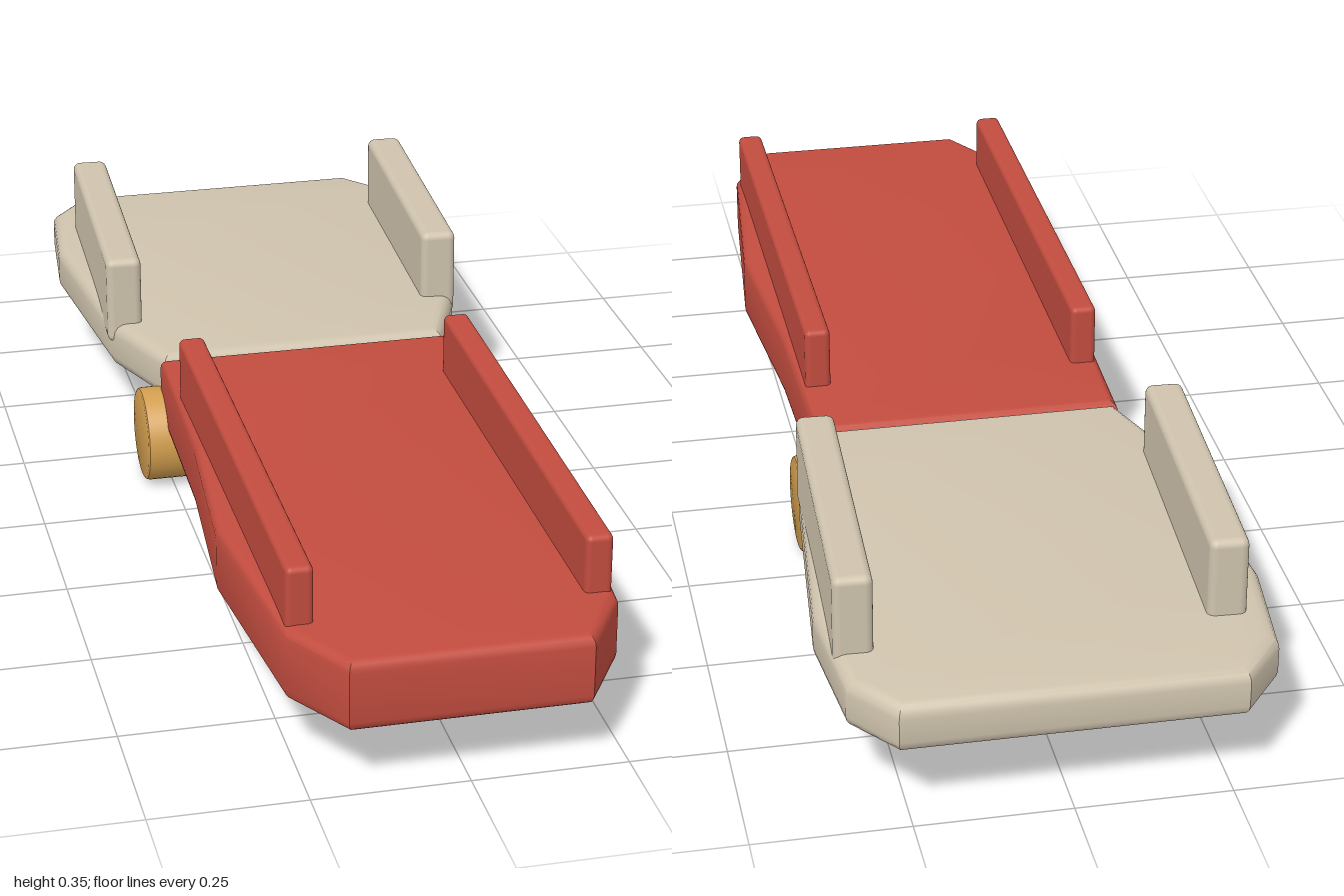
import * as THREE from 'three';
import { toCreasedNormals } from 'three/addons/utils/BufferGeometryUtils.js';
import { RoundedBoxGeometry } from 'three/addons/geometries/RoundedBoxGeometry.js';

function material(name, color) {
  const m = new THREE.MeshStandardMaterial({ color });
  m.name = name;
  return m;
}

// Horizontal slab with rounded edges, mirrored from one side's [x, z] outline; top at y = 0
function slabGeometry(half, thickness, bevel) {
  const mirrored = half.map(([x, z]) => [-x, z]).reverse();
  const shape = new THREE.Shape([...half, ...mirrored].map(([x, z]) => new THREE.Vector2(x, z)));
  const g = new THREE.ExtrudeGeometry(shape, {
    depth: thickness - 2 * bevel,
    bevelEnabled: true,
    bevelThickness: bevel,
    bevelSize: bevel,
    bevelOffset: -bevel,
    bevelSegments: 4,
  });
  g.rotateX(Math.PI / 2);
  g.translate(0, -bevel, 0);
  return toCreasedNormals(g, 0.5);
}

export function createModel() {
  const red = material('red', 0xc24c3f);
  const beige = material('beige', 0xcfc3ad);
  const brass = material('brass', 0xd09c4e);

  const model = new THREE.Group();
  model.name = 'hingedSplint';
  const add = (name, geometry, mat, x, y, z, rx = 0, ry = 0) => {
    const mesh = new THREE.Mesh(geometry, mat);
    mesh.name = name;
    mesh.position.set(x, y, z);
    mesh.rotation.set(rx, ry, 0);
    model.add(mesh);
    return mesh;
  };

  // Long front plate
  const frontOutline = [[0.262, -0.155], [0.27, 0.2], [0.296, 0.52], [0.262, 0.88], [0.19, 1.0]];
  add('frontPlate', slabGeometry(frontOutline, 0.12, 0.018), red, 0, 0.225, 0);

  // Shorter rear plate, dipping slightly to the back
  const rearOutline = [[0.255, 0], [0.32, -0.175], [0.357, -0.565], [0.337, -0.76], [0.27, -0.845]];
  add('rearPlate', slabGeometry(rearOutline, 0.085, 0.022), beige, 0, 0.228, -0.155, -0.016);

  // Raised side rails on both plates
  const frontRail = new RoundedBoxGeometry(0.044, 0.14, 0.865, 3, 0.01);
  const rearRail = new RoundedBoxGeometry(0.063, 0.16, 0.522, 3, 0.013);
  for (const [side, s] of [['left', 1], ['right', -1]]) {
    add(side + 'FrontRail', frontRail, red, s * 0.235, 0.256, 0.433, 0.011);
    add(side + 'RearRail', rearRail, beige, s > 0 ? 0.301 : -0.285, 0.269, -0.581, 0, -0.042);
  }

  // Hinge roller lying across the joint
  const profile = [[0, -0.3], [0.077, -0.3], [0.081, -0.298], [0.083, -0.293],
    [0.083, 0.293], [0.081, 0.298], [0.077, 0.3], [0, 0.3]];
  const roller = new THREE.LatheGeometry(profile.map(([r, y]) => new THREE.Vector2(r, y)), 40);
  roller.rotateZ(Math.PI / 2);
  add('hingeRoller', toCreasedNormals(roller, 0.5), brass, 0, 0.083, -0.152);

  return model;
}
